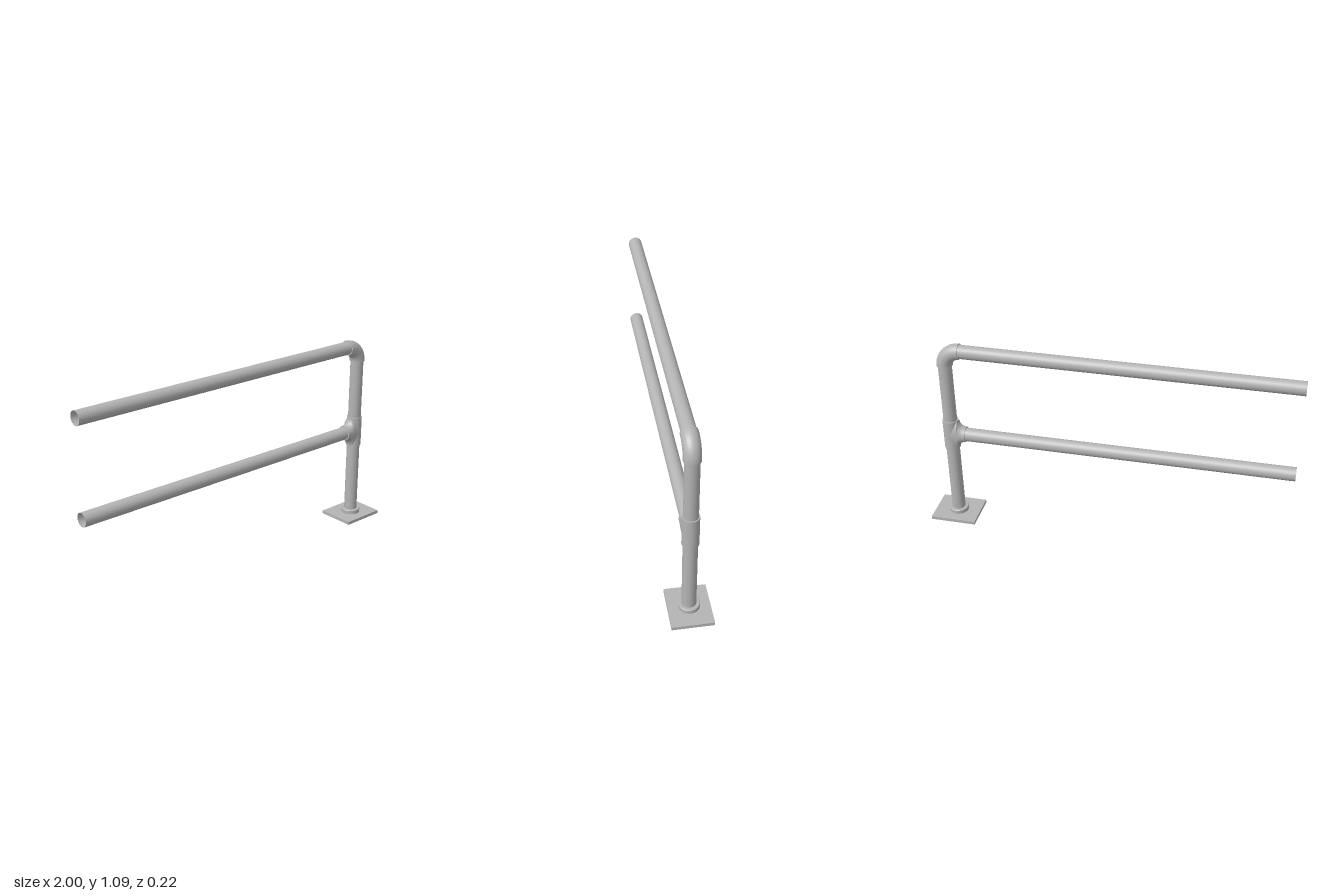
import * as THREE from 'three';

export function createModel() {
  const model = new THREE.Group();
  model.name = 'guardRail';
  const steel = new THREE.MeshStandardMaterial({ color: 0xb4b4b4, side: THREE.DoubleSide });
  steel.name = 'galvanisedSteel';

  const SIDES = 40;
  const PIPE = 0.037, FITTING = 0.043;          // radii
  const POST_X = 0.871, TOP_Y = 1.049, MID_Y = 0.538;
  const BEND = 0.086, JOINT_X = POST_X - BEND;  // where rails enter the fittings

  function add(name, geometry, x, y, parent = model) {
    const mesh = new THREE.Mesh(geometry, steel);
    mesh.name = name;
    mesh.position.set(x, y, 0);
    parent.add(mesh);
    return mesh;
  }
  const lip = () => new THREE.RingGeometry(PIPE - 0.002, FITTING, SIDES);

  // Base plate: shallow tray, open underneath
  const plate = new THREE.BoxGeometry(0.255, 0.018, 0.216);
  const faces = Array.from(plate.index.array);
  faces.splice(18, 6);
  plate.setIndex(faces);
  plate.clearGroups();
  add('basePlate', plate, 0.8725, 0.009);

  // Collar with a small chamfer
  const collar = [[0.055, 0.018], [0.055, 0.018], [0.055, 0.039], [0.055, 0.039],
    [0.052, 0.042], [0.052, 0.042], [PIPE, 0.042]];
  add('baseCollar', new THREE.LatheGeometry(collar.map(p => new THREE.Vector2(...p)), SIDES), POST_X, 0);

  // Upright post, open pipe
  const postTop = 0.97;
  add('post', new THREE.CylinderGeometry(PIPE, PIPE, postTop - 0.018, SIDES, 1, true),
    POST_X, (postTop + 0.018) / 2);

  // Two horizontal rails with open left ends
  const railEnd = JOINT_X + 0.01;
  for (const [name, y] of [['topRail', TOP_Y], ['middleRail', MID_Y]]) {
    const rail = new THREE.CylinderGeometry(PIPE, PIPE, railEnd + 1, SIDES, 1, true);
    rail.rotateZ(Math.PI / 2);
    add(name, rail, (railEnd - 1) / 2, y);
  }

  // Elbow at the top corner
  const elbow = new THREE.Group();
  elbow.name = 'elbow';
  model.add(elbow);
  add('elbowBend', new THREE.TorusGeometry(BEND, FITTING, SIDES, 20, Math.PI / 2),
    JOINT_X, TOP_Y - BEND, elbow);
  add('elbowRailLip', lip().rotateY(-Math.PI / 2), JOINT_X, TOP_Y, elbow);
  add('elbowPostLip', lip().rotateX(Math.PI / 2), POST_X, TOP_Y - BEND, elbow);

  // Tee: sleeve on the post and a branch that flares into it
  const tee = new THREE.Group();
  tee.name = 'tee';
  model.add(tee);
  const FILLET = 0.044, STEPS = 12;
  add('teeSleeve', new THREE.CylinderGeometry(FITTING, FITTING, 2 * (FITTING + FILLET), SIDES),
    POST_X, MID_Y, tee);

  const branch = new THREE.CylinderGeometry(FITTING, FITTING, 1, SIDES, STEPS + 1, true);
  branch.rotateZ(Math.PI / 2);                  // axis along x, from -0.5 to 0.5
  const pos = branch.attributes.position;
  for (let i = 0; i < pos.count; i++) {
    const step = Math.round((pos.getX(i) + 0.5) * (STEPS + 1));
    const a = Math.min(step / STEPS, 1) * Math.PI / 2;
    const half = FITTING + FILLET * (1 - Math.cos(a));
    pos.setX(i, step > STEPS ? BEND : FILLET * Math.sin(a));
    pos.setY(i, pos.getY(i) * half / FITTING);
  }
  branch.computeVertexNormals();
  add('teeBranch', branch, JOINT_X, MID_Y, tee);
  add('teeBranchLip', lip().rotateY(-Math.PI / 2), JOINT_X, MID_Y, tee);

  return model;
}
